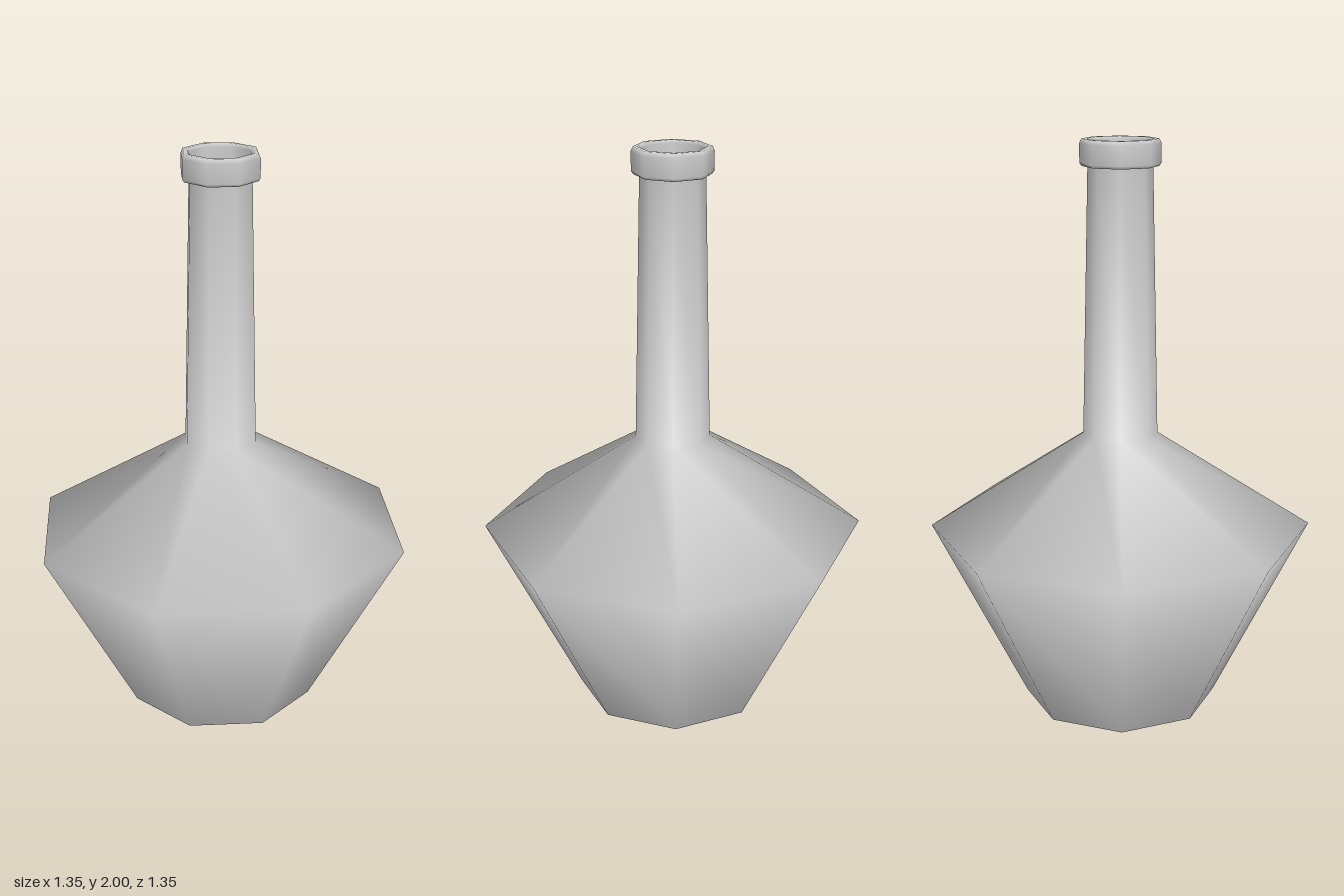
import * as THREE from 'three';

const SIDES = 8;

export function createModel() {
  const group = new THREE.Group();
  const material = new THREE.MeshStandardMaterial({ color: 0xcccccc, side: THREE.DoubleSide });

  const add = (name, geometry) => {
    const mesh = new THREE.Mesh(geometry, material);
    mesh.name = name;
    group.add(mesh);
    return mesh;
  };
  const lathe = (points) =>
    new THREE.LatheGeometry(points.map(([r, y]) => new THREE.Vector2(r, y)), SIDES);

  // Thin hollow shell: tapered belly, sloping shoulder and long neck
  add('bottleBody', lathe([[0.342, 0], [0.673, 0.645], [0.13, 0.987], [0.11, 1.92]]));

  // Flat base, also seen from inside through the neck
  add('base', new THREE.CircleGeometry(0.342, SIDES).rotateX(Math.PI / 2));

  // Bevelled lip around the mouth
  add('lip', lathe([
    [0.109, 1.91], [0.13, 1.91], [0.137, 1.92], [0.137, 1.985],
    [0.13, 2], [0.115, 2], [0.109, 1.99], [0.109, 1.91],
  ]));

  return group;
}
